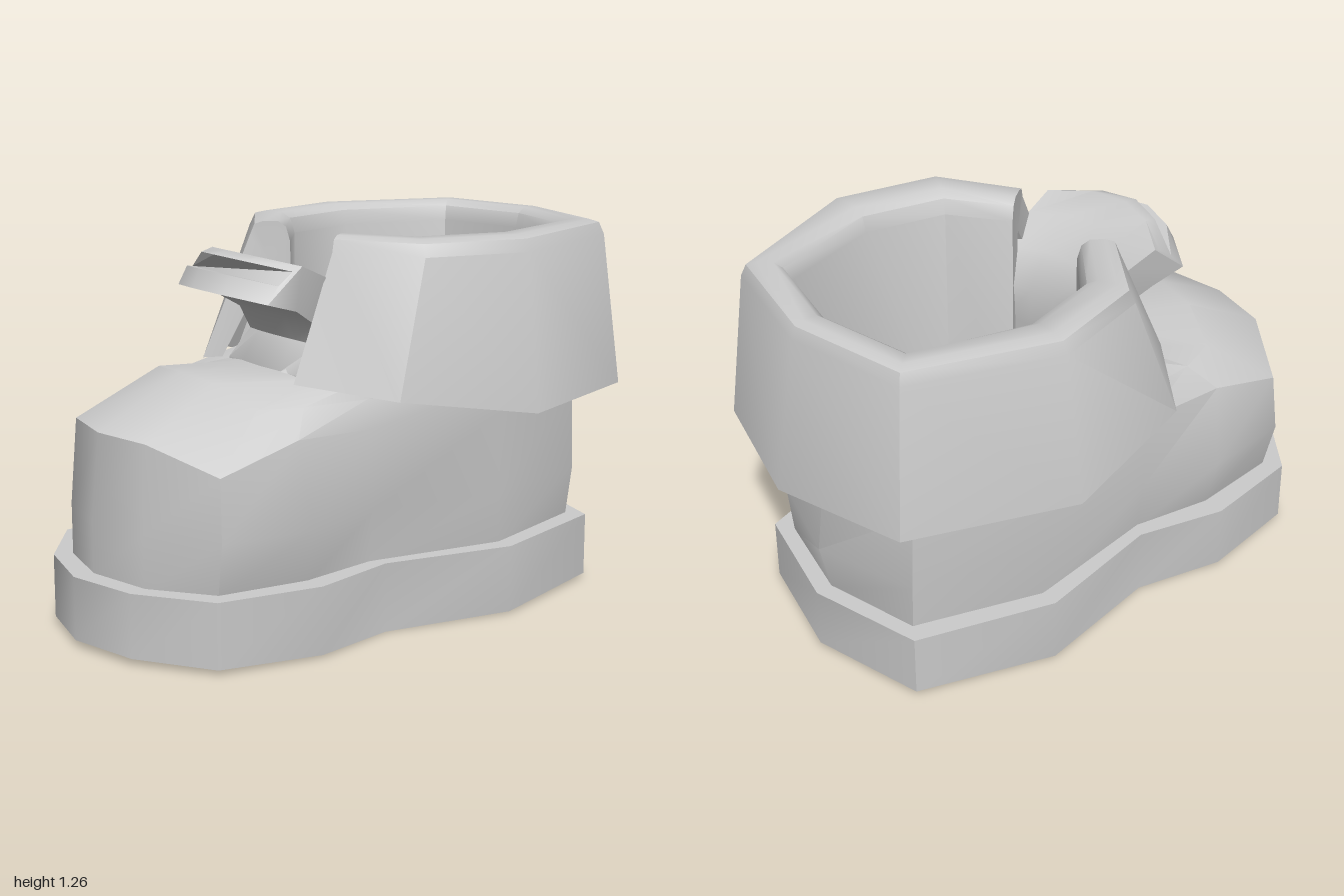
import * as THREE from 'three';
import { toCreasedNormals } from 'three/addons/utils/BufferGeometryUtils.js';

const V = (x, y, z) => new THREE.Vector3(x, y, z);

// Skin a list of closed rings, with optional fan caps at both ends
function loft(rings, capStart, capEnd, crease = 0.6) {
  const pos = [];
  const tri = (...pts) => pts.forEach((p) => pos.push(p.x, p.y, p.z));
  const n = rings[0].length;
  for (let i = 0; i < rings.length - 1; i++) {
    for (let j = 0; j < n; j++) {
      const k = (j + 1) % n;
      const a = rings[i][j], b = rings[i][k], c = rings[i + 1][k], d = rings[i + 1][j];
      tri(a, b, c);
      tri(a, c, d);
    }
  }
  const first = rings[0], last = rings[rings.length - 1];
  for (let j = 1; j < n - 1; j++) {
    if (capStart) tri(first[0], first[j + 1], first[j]);
    if (capEnd) tri(last[0], last[j], last[j + 1]);
  }
  const geo = new THREE.BufferGeometry();
  geo.setAttribute('position', new THREE.Float32BufferAttribute(pos, 3));
  return toCreasedNormals(geo, crease);
}

// Half outline from front centre to back centre, completed by mirroring in x
const mirrorRing = (half) => [
  ...half,
  ...half.slice(1, -1).reverse().map((p) => V(-p.x, p.y, p.z)),
];

function part(group, name, geometry, side = THREE.FrontSide) {
  const mesh = new THREE.Mesh(geometry, new THREE.MeshStandardMaterial({ color: 0xcccccc, side }));
  mesh.name = name;
  group.add(mesh);
}

// Thick sole with a slightly rocked underside
function soleGeometry() {
  const outline = [[0, 1], [0.25, 0.94], [0.48, 0.77], [0.53, 0.42], [0.45, 0.12],
    [0.535, -0.33], [0.39, -0.79], [0, -0.89]];
  const ring = (height) => mirrorRing(outline.map(([x, z]) => V(x, height(z), z)));
  return loft([ring((z) => 0.025 * Math.max(0, Math.abs(z) - 0.12)), ring(() => 0.23)], true, true);
}

// Toe, sides and shaft: rings of [x, y, z] rising from the sole
function upperGeometry() {
  const flat = (y, pts) => pts.map(([x, z]) => [x, y, z]);
  const levels = [
    flat(0.22, [[0, 0.93], [0.23, 0.88], [0.42, 0.73], [0.45, 0.42], [0.4, 0.15],
      [0.47, -0.33], [0.33, -0.75], [0, -0.83]]),
    flat(0.4, [[0, 0.93], [0.23, 0.88], [0.46, 0.74], [0.49, 0.43], [0.42, 0.15],
      [0.47, -0.33], [0.35, -0.76], [0, -0.87]]),
    [[0, 0.68, 0.9], [0.22, 0.68, 0.86], [0.44, 0.6, 0.73], [0.445, 0.68, 0.45], [0.42, 0.67, 0.16],
      [0.47, 0.67, -0.33], [0.35, 0.67, -0.75], [0, 0.7, -0.83]],
    [[0, 0.835, 0.6], [0.17, 0.825, 0.58], [0.32, 0.76, 0.52], [0.37, 0.76, 0.38], [0.39, 0.76, 0.15],
      [0.47, 0.76, -0.33], [0.35, 0.76, -0.75], [0, 0.76, -0.83]],
    [[0, 0.82, 0.32], [0.12, 0.82, 0.3], [0.22, 0.81, 0.26], [0.3, 0.83, 0.19], [0.37, 0.84, 0.06],
      [0.47, 0.84, -0.33], [0.34, 0.84, -0.74], [0, 0.84, -0.82]],
    [[0, 0.82, 0.2], [0.1, 0.82, 0.19], [0.18, 0.9, 0.15], [0.25, 1.15, 0.08], [0.37, 1.15, -0.03],
      [0.46, 1.15, -0.33], [0.34, 1.15, -0.74], [0, 1.15, -0.82]],
  ];
  return loft(levels.map((l) => mirrorRing(l.map((p) => V(...p)))), false, false);
}

// Cuff stations from the front opening to the back:
// inner rim [x, z], outer rim [x, z], flap hem [x, z, y]
const cuffStations = [
  [[0.16, 0.07], [0.24, 0.18], [0.27, 0.35, 0.81]],
  [[0.34, -0.07], [0.5, 0.01], [0.56, 0.15, 0.78]],
  [[0.41, -0.34], [0.59, -0.34], [0.655, -0.33, 0.7]],
  [[0.31, -0.71], [0.41, -0.82], [0.45, -0.87, 0.7]],
  [[0, -0.78], [0, -0.91], [0, -1, 0.7]],
];
const FLOOR = 0.3;

// Lining, rounded rim and folded-down flap in one cross-section
function cuffGeometry() {
  const section = ([inner, outer, hem]) => {
    const across = (t, y) => V(inner[0] + t * (outer[0] - inner[0]), y, inner[1] + t * (outer[1] - inner[1]));
    const hemPoint = V(hem[0], hem[2], hem[1]);
    const hemInside = hemPoint.clone().lerp(V(inner[0], hem[2], inner[1]), 0.22);
    return [across(0.5, 1.12), across(0, FLOOR), across(0, 1.19), across(0.1, 1.24), across(0.3, 1.26),
      across(0.65, 1.26), across(0.88, 1.25), across(1, 1.21), hemPoint, hemInside];
  };
  const half = cuffStations.map(section);
  const mirrored = half.slice(0, -1).reverse().map((r) => r.map((p) => V(-p.x, p.y, p.z)));
  return loft([...half, ...mirrored], true, true, 0.7);
}

// Insole closing the bottom of the opening
function insoleGeometry() {
  const shape = new THREE.Shape();
  const half = cuffStations.map(([p]) => p);
  const outline = [...half, ...half.slice(0, -1).reverse().map(([x, z]) => [-x, z])];
  shape.setFromPoints(outline.map(([x, z]) => new THREE.Vector2(x, -z)));
  return new THREE.ShapeGeometry(shape).rotateX(-Math.PI / 2).translate(0, FLOOR, 0);
}

// Tongue curling forward: front [z, y], back [z, y], half width
function tongueGeometry() {
  const stations = [
    [[0.22, 0.3], [0.1, 0.3], 0.2],
    [[0.3, 0.82], [0.11, 0.8], 0.22],
    [[0.25, 0.92], [0.11, 0.95], 0.2],
    [[0.3, 1.0], [0.18, 1.07], 0.22],
    [[0.41, 1.06], [0.3, 1.16], 0.25],
    [[0.55, 1.1], [0.42, 1.21], 0.265],
    [[0.525, 1.16], [0.47, 1.2], 0.255],
  ];
  const columns = [-1, -0.5, 0, 0.5, 1];
  const rings = stations.map(([front, back, w], i) => {
    const bend = i / (stations.length - 1);
    const row = ([z, y], cs) => cs.map((c) => V(c * w, y - 0.035 * c * c * bend, z - 0.13 * c * c * bend));
    return [...row(front, columns), ...row(back, [...columns].reverse())];
  });
  return loft(rings, true, true, 0.8);
}

export function createModel() {
  const boot = new THREE.Group();
  boot.name = 'boot';
  part(boot, 'sole', soleGeometry());
  part(boot, 'upper', upperGeometry(), THREE.DoubleSide);
  part(boot, 'cuff', cuffGeometry(), THREE.DoubleSide);
  part(boot, 'insole', insoleGeometry(), THREE.DoubleSide);
  part(boot, 'tongue', tongueGeometry());
  // Centre the length, toe to back hem
  return boot;
}
